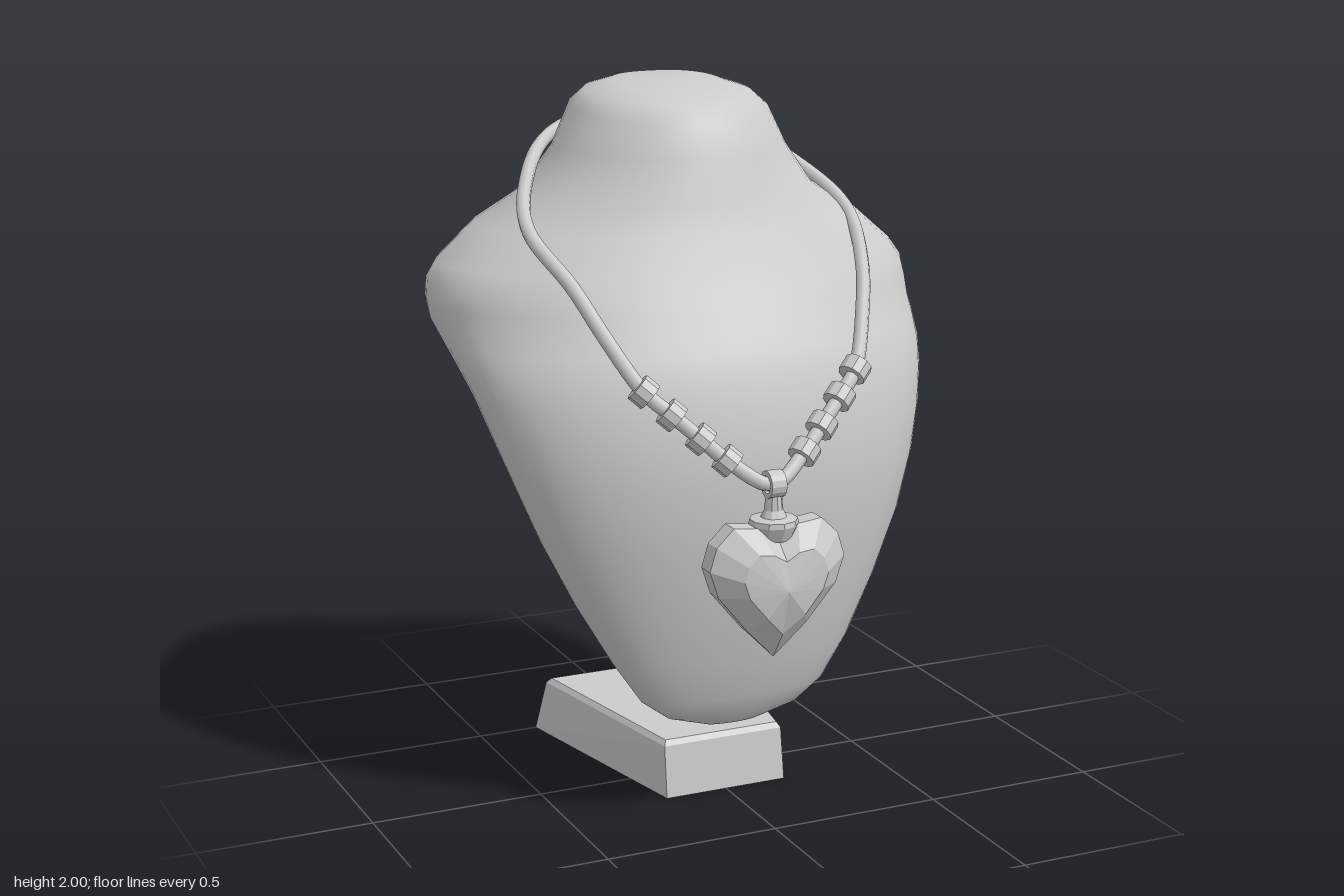
import * as THREE from 'three';

const V = (x, y, z) => new THREE.Vector3(x, y, z);

// Skin closed rings of points, fanned shut at both ends
function loft(rings, start, end, flat) {
  const n = rings[0].length, last = (rings.length - 1) * n;
  const pts = [...rings.flat(), start, end];
  const s = pts.length - 2, e = pts.length - 1, index = [];
  for (let j = 0; j < n; j++) {
    const k = (j + 1) % n;
    for (let i = 0; i < last; i += n) {
      index.push(i + j, i + k, i + n + k, i + j, i + n + k, i + n + j);
    }
    index.push(s, k, j, e, last + j, last + k);
  }
  let geo = new THREE.BufferGeometry().setFromPoints(pts);
  geo.setIndex(index);
  if (flat) geo = geo.toNonIndexed();
  geo.computeVertexNormals();
  return geo;
}

export function createModel() {
  const model = new THREE.Group();
  model.name = 'necklaceDisplay';
  const smooth = new THREE.MeshStandardMaterial({ color: 0xcccccc });
  const faceted = new THREE.MeshStandardMaterial({ color: 0xcccccc, flatShading: true });
  const add = (name, geo, mat, parent = model) => {
    const mesh = new THREE.Mesh(geo, mat);
    mesh.name = name;
    parent.add(mesh);
    return mesh;
  };

  // Bust: horizontal sections [height, half width, front z, back z, z of widest point]
  const sections = [
    [0.222, 0.08, 0.235, 0.195, 0.215],
    [0.26, 0.20, 0.275, 0.18, 0.22],
    [0.32, 0.28, 0.30, 0.155, 0.22],
    [0.44, 0.36, 0.34, 0.12, 0.21],
    [0.61, 0.455, 0.375, 0.07, 0.18],
    [0.79, 0.54, 0.402, 0.03, 0.15],
    [0.95, 0.60, 0.41, -0.02, 0.11],
    [1.08, 0.642, 0.40, -0.10, 0.06],
    [1.18, 0.67, 0.375, -0.19, 0.01],
    [1.25, 0.69, 0.355, -0.29, -0.05],
    [1.31, 0.703, 0.33, -0.43, -0.12],
    [1.36, 0.712, 0.30, -0.57, -0.18],
    [1.41, 0.714, 0.275, -0.603, -0.2],
    [1.46, 0.708, 0.245, -0.598, -0.21],
    [1.51, 0.675, 0.22, -0.585, -0.22],
    [1.61, 0.56, 0.17, -0.555, -0.23],
    [1.69, 0.42, 0.14, -0.525, -0.22],
    [1.81, 0.33, 0.10, -0.488, -0.2],
    [1.92, 0.28, 0.065, -0.45, -0.2],
    [1.96, 0.235, 0.02, -0.42, -0.2],
    [1.985, 0.16, -0.05, -0.36, -0.2],
  ];
  const bustRings = sections.map(([y, w, front, back, mid]) =>
    Array.from({ length: 48 }, (_, j) => {
      const a = (j / 48) * Math.PI * 2, s = Math.sin(a), c = Math.cos(a);
      const p = c < 0 ? 2 / 2.5 : 1; // squarer towards the back
      const x = w * Math.sign(s) * Math.abs(s) ** p;
      const z = mid + (c < 0 ? back - mid : front - mid) * Math.abs(c) ** p;
      const tilt = y > 1.9 ? -0.08 * (z + 0.2) : 0; // neck top leans forward
      return V(x, y + tilt, z);
    }));
  add('bust', loft(bustRings, V(0, 0.218, 0.215), V(0, 1.988, -0.2)), smooth);

  // Base: tapered block, narrower at the front
  const baseRing = (y, front, back, zf, zb) =>
    [V(-front, y, zf), V(front, y, zf), V(back, y, zb), V(-back, y, zb)];
  add('base', loft([
    baseRing(0, 0.185, 0.322, 0.18, -0.5),
    baseRing(0.15, 0.183, 0.295, 0.16, -0.475),
    baseRing(0.165, 0.175, 0.282, 0.148, -0.463),
  ], V(0, 0, -0.16), V(0, 0.165, -0.16), true), faceted);

  // Bent support post, a side profile extruded across
  const profile = [[0.14, 0.15], [0.085, 0.37], [-0.085, 0.62], [-0.14, 0.71],
    [-0.03, 0.775], [0.215, 0.345], [0.27, 0.15]];
  const postGeo = new THREE.ExtrudeGeometry(
    new THREE.Shape(profile.map(([x, y]) => new THREE.Vector2(x, y))),
    { depth: 0.165, bevelEnabled: false });
  postGeo.rotateY(Math.PI / 2).translate(-0.0825, 0, 0);
  add('supportPost', postGeo, faceted);

  // Necklace, hanging slightly off centre
  const necklace = new THREE.Group();
  necklace.name = 'necklace';
  necklace.position.x = -0.015;
  model.add(necklace);

  const beadSpots = [V(0.115, 1.06, 0.46), V(0.18, 1.12, 0.433),
    V(0.25, 1.185, 0.4), V(0.315, 1.247, 0.365)];
  const half = [...beadSpots, V(0.385, 1.38, 0.27), V(0.435, 1.5, 0.17),
    V(0.483, 1.62, -0.02), V(0.435, 1.71, -0.18), V(0.27, 1.83, -0.4)];
  const flip = p => V(-p.x, p.y, p.z);
  const path = new THREE.CatmullRomCurve3(
    [V(0, 0.99, 0.5), ...half, V(0, 1.88, -0.475), ...half.map(flip).reverse()], true);
  add('cord', new THREE.TubeGeometry(path, 120, 0.02, 8, true), smooth, necklace);

  // Beads threaded on both sides
  const beadGeo = new THREE.CylinderGeometry(0.04, 0.04, 0.045, 10);
  const along = beadSpots[3].clone().sub(beadSpots[0]).normalize();
  for (const mirror of [p => p.clone(), flip]) {
    for (const spot of beadSpots) {
      const bead = add('bead', beadGeo, faceted, necklace);
      bead.position.copy(mirror(spot));
      bead.quaternion.setFromUnitVectors(V(0, 1, 0), mirror(along));
    }
  }

  // Pendant: bail ring, stem, cap and cut heart
  const pendant = new THREE.Group();
  pendant.name = 'pendant';
  pendant.position.z = 0.507;
  necklace.add(pendant);

  const ringShape = new THREE.Shape().absarc(0, 0, 0.038, 0, Math.PI * 2);
  ringShape.holes.push(new THREE.Path().absarc(0, 0, 0.024, 0, Math.PI * 2, true));
  const bailGeo = new THREE.ExtrudeGeometry(ringShape, { depth: 0.044, bevelEnabled: false, curveSegments: 7 });
  bailGeo.rotateY(Math.PI / 2).translate(-0.022, 0.995, 0);
  add('bail', bailGeo, faceted, pendant);

  const capProfile = [[0, 0.965], [0.022, 0.965], [0.026, 0.925], [0.036, 0.905],
    [0.066, 0.9], [0.068, 0.885], [0.05, 0.845], [0, 0.84]];
  add('pendantCap', new THREE.LatheGeometry(
    capProfile.map(([x, y]) => new THREE.Vector2(x, y)).reverse(), 10), faceted, pendant);

  // Heart outline from the notch down one side, then mirrored back up
  const side = [[-0.06, 0.885], [-0.13, 0.893], [-0.18, 0.845], [-0.2, 0.78],
    [-0.175, 0.705], [-0.09, 0.602]];
  const outline = [[0, 0.85], ...side, [0, 0.51], ...side.map(([x, y]) => [-x, y]).reverse()];
  const heartRing = (scale, z) => outline.map(([x, y]) => {
    const py = 0.72 + (y - 0.72) * scale;
    return V(x * scale, py, z * Math.min(1, (py - 0.49) / 0.14)); // thins to the tip
  });
  add('heart', loft([
    heartRing(0.62, -0.085), heartRing(1, -0.028),
    heartRing(1, 0.028), heartRing(0.62, 0.085),
  ], V(0, 0.72, -0.098), V(0, 0.72, 0.098), true), faceted, pendant);

  return model;
}
